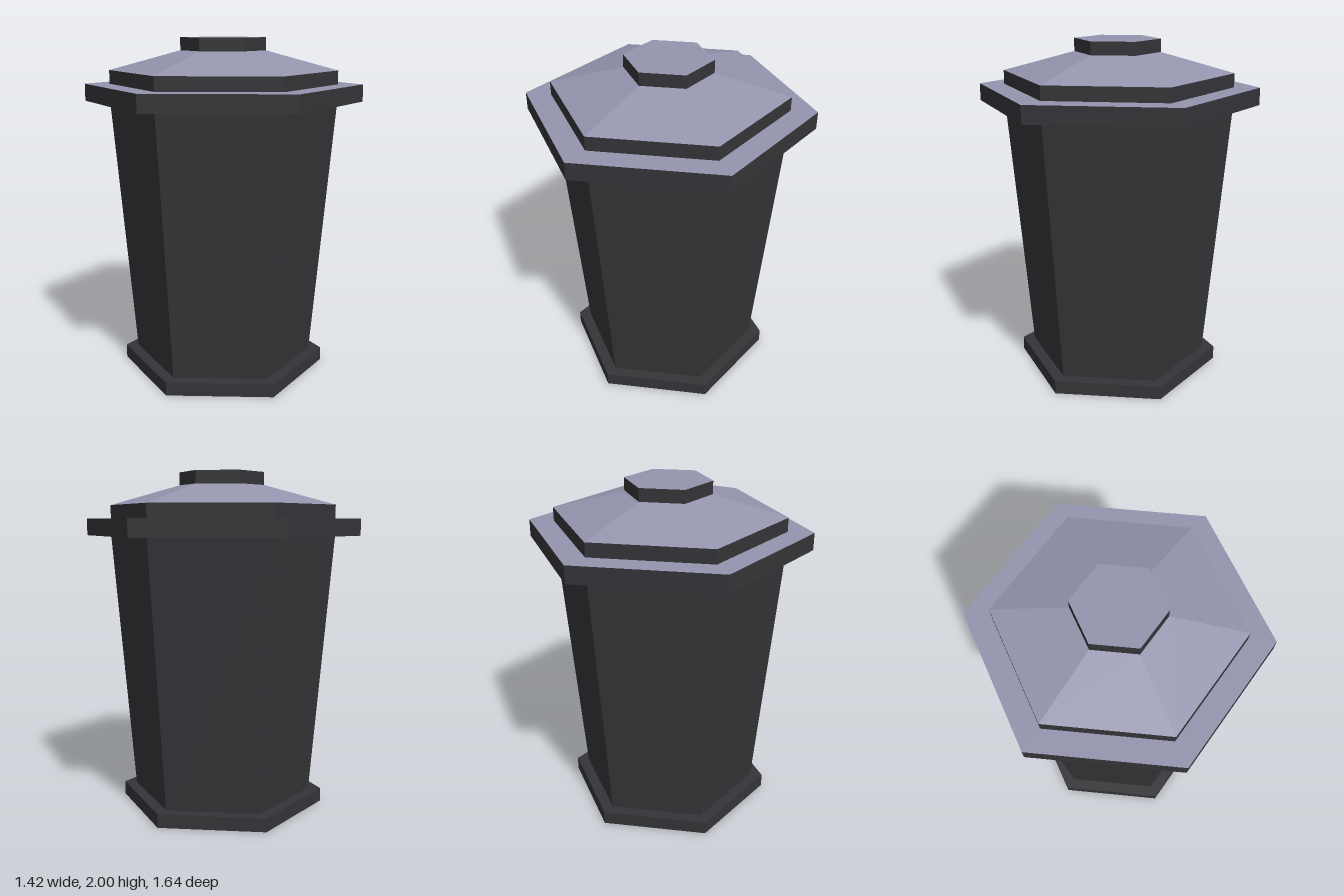
import * as THREE from 'three';

export function createModel() {
  const bin = new THREE.Group();
  bin.name = 'hexagonalBin';

  const charcoal = new THREE.MeshStandardMaterial({ color: 0x353539 });
  charcoal.name = 'charcoal';
  const lavenderGrey = new THREE.MeshStandardMaterial({ color: 0x9494ae });
  lavenderGrey.name = 'lavender grey';

  // Six-sided tier with a corner facing the front
  function tier(name, y0, y1, r0, r1, side, top) {
    const indexed = new THREE.CylinderGeometry(r1, r0, y1 - y0, 6);
    const geometry = indexed.toNonIndexed();
    geometry.computeVertexNormals(); // crisp facets
    const mesh = new THREE.Mesh(geometry, [side, top, charcoal]);
    mesh.name = name;
    mesh.position.y = (y0 + y1) / 2;
    bin.add(mesh);
  }

  tier('base', 0, 0.08, 0.615, 0.615, charcoal, charcoal);
  tier('body', 0.08, 1.63, 0.54, 0.672, charcoal, charcoal);
  tier('rim', 1.63, 1.73, 0.82, 0.82, charcoal, lavenderGrey);
  tier('lidBand', 1.73, 1.81, 0.672, 0.672, charcoal, lavenderGrey);
  tier('lidSlope', 1.81, 1.925, 0.672, 0.25, lavenderGrey, lavenderGrey);
  tier('lidKnob', 1.925, 2, 0.25, 0.25, charcoal, lavenderGrey);

  return bin;
}
